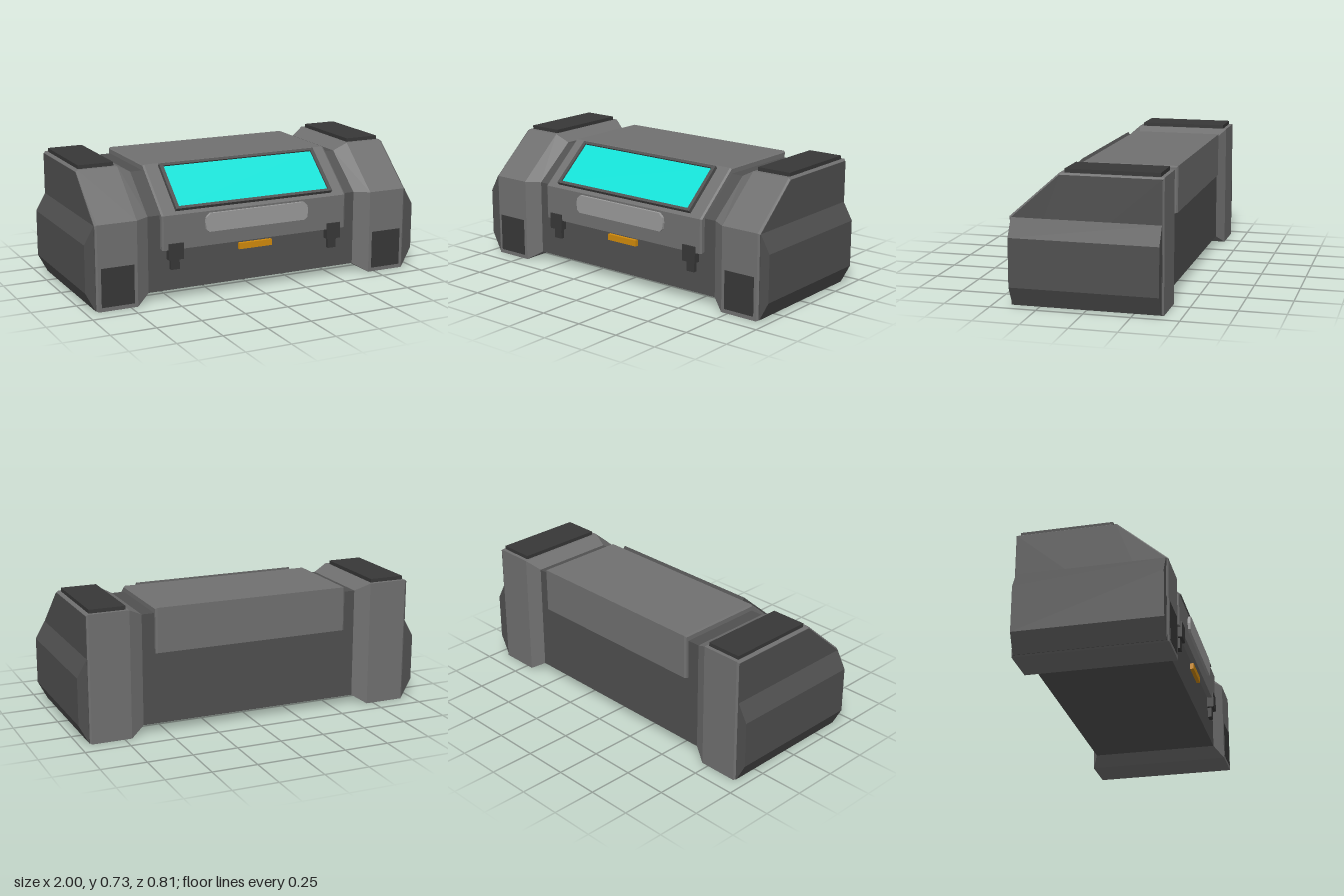
import * as THREE from 'three';

const mat = (color) => new THREE.MeshStandardMaterial({ color, flatShading: true });
const shellMat = mat(0x707070), bodyMat = mat(0x505050), darkMat = mat(0x383838);
const gripMat = mat(0x9a9a9a), screenMat = mat(0x12e0d6), amberMat = mat(0xd08a0c);

// Skin a list of [x, profile] stations; profiles are [z, y] points, front edge going up
function loft(stations) {
  const n = stations[0][1].length, pos = [], idx = [];
  for (const [x, profile] of stations) for (const [z, y] of profile) pos.push(x, y, z);
  for (let s = 0; s < stations.length - 1; s++) {
    for (let i = 0; i < n; i++) {
      const a = s * n + i, b = s * n + (i + 1) % n;
      idx.push(a, a + n, b, a + n, b + n, b);
    }
  }
  const last = (stations.length - 1) * n;
  for (let i = 1; i < n - 1; i++) idx.push(0, i, i + 1, last, last + i + 1, last + i);
  const g = new THREE.BufferGeometry();
  g.setAttribute('position', new THREE.Float32BufferAttribute(pos, 3));
  g.setIndex(idx);
  const flat = g.toNonIndexed();
  flat.computeVertexNormals();
  return flat;
}

// Case cross-section: upright back, flat top, sloped upper front
const section = (zf, zb, y0, yKnee, zTop, yTop) =>
  [[zf, y0], [zf, yKnee], [zTop, yTop], [zb, yTop], [zb, y0]];
const inset = (p, k) => p.map(([z, y]) => [z * k, (y - 0.35) * k + 0.35]);

function rectShape(w, h, Type = THREE.Shape) {
  return new Type([[-1, -1], [1, -1], [1, 1], [-1, 1]]
    .map(([x, y]) => new THREE.Vector2(x * w / 2, y * h / 2)));
}

export function createModel() {
  const root = new THREE.Group();
  const add = (name, geo, material, x = 0, y = 0, z = 0, parent = root) => {
    const m = new THREE.Mesh(geo, material);
    m.name = name;
    m.position.set(x, y, z);
    parent.add(m);
    return m;
  };
  const box = (w, h, d) => new THREE.BoxGeometry(w, h, d);

  // Main body between the end sections
  const bodySec = section(0.355, -0.365, 0.05, 0.47, 0.12, 0.665);
  add('body', loft([[-0.64, bodySec], [0.64, bodySec]]), bodyMat);

  // Lid with bevelled ends, lower at the front than at the back
  const lidSec = [[0.385, 0.28], [0.385, 0.47], [0.125, 0.697], [-0.388, 0.697], [-0.388, 0.45]];
  add('lid', loft([[-0.56, inset(lidSec, 0.98)], [-0.55, lidSec],
    [0.55, lidSec], [0.56, inset(lidSec, 0.98)]]), shellMat);

  // Sloped window: frame with a recessed screen
  const windowGroup = new THREE.Group();
  windowGroup.name = 'window';
  windowGroup.position.set(0, 0.585, 0.252);
  windowGroup.rotation.x = -0.857;
  root.add(windowGroup);
  const frame = rectShape(0.95, 0.305);
  frame.holes.push(rectShape(0.91, 0.272, THREE.Path));
  add('windowFrame', new THREE.ExtrudeGeometry(frame, { depth: 0.03, bevelEnabled: false }),
    bodyMat, 0, 0, -0.008, windowGroup);
  add('screen', box(0.91, 0.272, 0.02), screenMat, 0, 0, 0.003, windowGroup);

  // Long front grip with clipped corners
  const grip = new THREE.Shape([[-0.29, -0.05], [0.29, -0.05], [0.308, -0.035], [0.312, 0],
    [0.308, 0.03], [0.285, 0.052], [-0.285, 0.052], [-0.308, 0.03], [-0.312, 0], [-0.308, -0.035]]
    .map(([x, y]) => new THREE.Vector2(x, y)));
  add('grip', new THREE.ExtrudeGeometry(grip, { depth: 0.025, bevelEnabled: false }),
    gripMat, 0, 0.408, 0.375);

  add('indicator', box(0.2, 0.034, 0.04), amberMat, 0, 0.247, 0.355);

  for (const s of [-1, 1]) {
    const side = s < 0 ? 'right' : 'left';

    // Latches
    add(side + 'Latch', box(0.085, 0.09, 0.05), darkMat, s * 0.482, 0.27, 0.368);
    add(side + 'LatchTongue', box(0.05, 0.065, 0.035), darkMat, s * 0.482, 0.2, 0.36);

    // End section flaring out from the body
    const full = section(0.405, -0.405, 0, 0.47, 0.137, 0.706);
    const rim = section(0.397, -0.397, 0.006, 0.464, 0.135, 0.697);
    const stations = [[0.63, bodySec], [0.71, full], [0.932, full], [0.942, rim]]
      .map(([x, p]) => [s * x, p]);
    if (s < 0) stations.reverse();
    add(side + 'EndSection', loft(stations), shellMat);

    // Dark side plate and chamfered bulge
    const plate = [[s * 0.93, rim], [s * 0.945, rim]];
    if (s < 0) plate.reverse();
    add(side + 'SidePlate', loft(plate), bodyMat);
    const bulge = new THREE.Shape([[0.93, 0.006], [0.945, 0.006], [1, 0.11], [1, 0.37],
      [0.945, 0.467], [0.93, 0.467]].map(([x, y]) => new THREE.Vector2(x, y)));
    const bulgeGeo = new THREE.ExtrudeGeometry(bulge, { depth: 0.79, bevelEnabled: false });
    bulgeGeo.translate(0, 0, -0.395);
    if (s < 0) bulgeGeo.rotateY(Math.PI);
    add(side + 'SideBulge', bulgeGeo, bodyMat);

    // Top and front pads
    add(side + 'TopPad', box(0.2, 0.035, 0.497), darkMat, s * 0.823, 0.709, -0.135);
    add(side + 'FrontPad', box(0.185, 0.213, 0.01), darkMat, s * 0.822, 0.129, 0.402);
  }
  return root;
}
